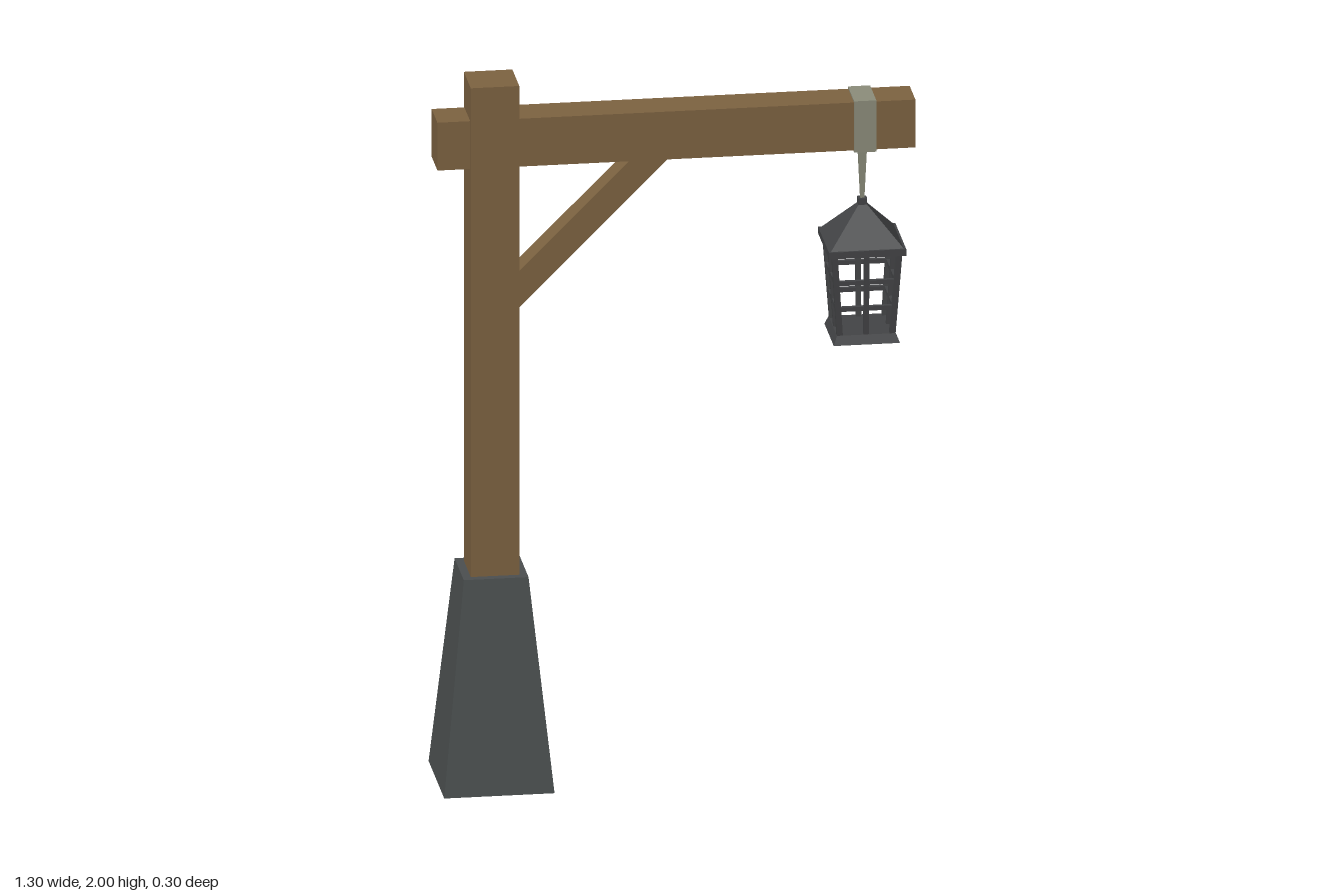
import * as THREE from 'three';

const mat = (color) => new THREE.MeshStandardMaterial({ color, flatShading: true });

export function createModel() {
  const wood = mat(0x7d6341), stone = mat(0x4b4f50), iron = mat(0x434446), strapMetal = mat(0x8c8d7b);
  const model = new THREE.Group();
  model.name = 'lampPost';

  const add = (parent, name, geometry, material, x = 0, y = 0, z = 0) => {
    const mesh = new THREE.Mesh(geometry, material);
    mesh.name = name;
    mesh.position.set(x, y, z);
    parent.add(mesh);
    return mesh;
  };
  // Square tapered block with half widths at top and bottom, standing on y0
  const taper = (parent, name, top, bottom, y0, y1, material, x = 0) => {
    const g = new THREE.CylinderGeometry(top * Math.SQRT2, bottom * Math.SQRT2, y1 - y0, 4);
    g.rotateY(Math.PI / 4);
    return add(parent, name, g, material, x, (y0 + y1) / 2);
  };
  // Square bar between two points
  const up = new THREE.Vector3(0, 1, 0);
  const bar = (parent, name, a, b, t) => {
    const dir = b.clone().sub(a);
    const mesh = add(parent, name, new THREE.BoxGeometry(t, dir.length(), t), iron);
    mesh.position.copy(a).add(b).multiplyScalar(0.5);
    mesh.quaternion.setFromUnitVectors(up, dir.normalize());
  };

  // Stone foot, post and crossbeam
  const postX = -0.495;
  taper(model, 'stoneBase', 0.088, 0.15, 0, 0.6, stone, postX);
  add(model, 'post', new THREE.BoxGeometry(0.132, 1.42, 0.132), wood, postX, 1.29);
  add(model, 'crossbeam', new THREE.BoxGeometry(1.3, 0.137, 0.11), wood, 0, 1.8335);

  // Diagonal brace with ends cut flush to post and beam
  const braceShape = new THREE.Shape([
    new THREE.Vector2(-0.43, 1.35), new THREE.Vector2(-0.015, 1.765),
    new THREE.Vector2(-0.12, 1.765), new THREE.Vector2(-0.43, 1.455),
  ]);
  const brace = new THREE.ExtrudeGeometry(braceShape, { depth: 0.074, bevelEnabled: false });
  add(model, 'brace', brace, wood, 0, 0, -0.037);

  // Metal strap around the beam and the hanger below it
  const lampX = 0.513;
  add(model, 'strap', new THREE.BoxGeometry(0.06, 0.147, 0.12), strapMetal, lampX, 1.8335);
  taper(model, 'hanger', 0.012, 0.005, 1.6, 1.765, strapMetal, lampX);

  // Lantern
  const lantern = new THREE.Group();
  lantern.name = 'lantern';
  lantern.position.x = lampX;
  model.add(lantern);
  taper(lantern, 'roofKnob', 0.012, 0.012, 1.585, 1.61, iron);
  taper(lantern, 'roof', 0.012, 0.1, 1.492, 1.592, iron);
  taper(lantern, 'eaves', 0.105, 0.105, 1.474, 1.493, iron);
  taper(lantern, 'floor', 0.08, 0.09, 1.22, 1.245, iron);

  // Leaning cage: corner and middle uprights, two rows of rails on each side
  const yLow = 1.235, yHigh = 1.48;
  const half = (y) => THREE.MathUtils.mapLinear(y, yLow, yHigh, 0.071, 0.088);
  for (let i = 0; i < 4; i++) {
    const side = new THREE.Group();
    side.name = 'cageSide';
    side.rotation.y = i * Math.PI / 2;
    lantern.add(side);
    const p = (s, y) => new THREE.Vector3(s * half(y), y, half(y));
    bar(side, 'cornerBar', p(1, yLow), p(1, yHigh), 0.016);
    bar(side, 'middleBar', p(0, yLow), p(0, yHigh), 0.014);
    for (const y of [1.32, 1.396]) bar(side, 'rail', p(-1, y), p(1, y), 0.012);
  }
  return model;
}
